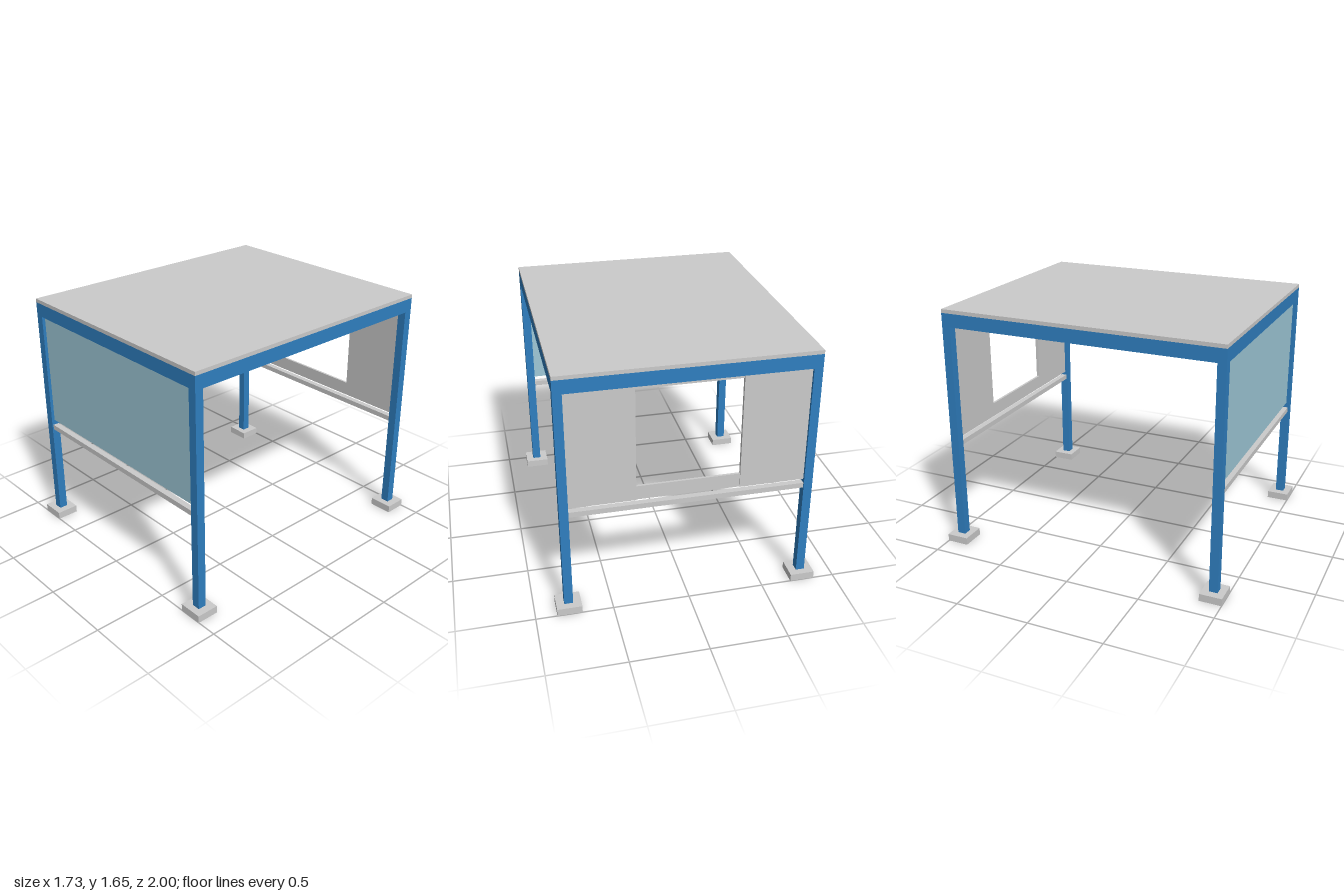
import * as THREE from 'three';

const mat = (color) => new THREE.MeshStandardMaterial({ color });

export function createModel() {
  const model = new THREE.Group();
  const grey = mat(0xcccccc);
  const blue = mat(0x2f7fc0);
  const glass = mat(0x9fc9d8);
  const black = mat(0x222222);

  // Box given by its lower and upper corners
  const box = (name, material, [x0, y0, z0], [x1, y1, z1], parent = model) => {
    const mesh = new THREE.Mesh(new THREE.BoxGeometry(x1 - x0, y1 - y0, z1 - z0), material);
    mesh.position.set((x0 + x1) / 2, (y0 + y1) / 2, (z0 + z1) / 2);
    mesh.name = name;
    parent.add(mesh);
    return mesh;
  };

  const X = 0.81, Z = 0.955, T = 0.057; // outer half sizes and tube thickness
  const xi = X - T, zi = Z - T;
  const beamY = 1.54, roofY = 1.63;

  // Roof slab
  box('roof', grey, [-X, roofY, -Z], [X, 1.655, Z]);

  // Four posts on footings
  for (const sx of [-1, 1]) {
    for (const sz of [-1, 1]) {
      const corner = new THREE.Group();
      corner.name = `${sz > 0 ? 'front' : 'back'}${sx > 0 ? 'Left' : 'Right'}Leg`;
      const px = sx * (X - T / 2), pz = sz * (Z - T / 2);
      box('post', blue, [px - T / 2, 0.05, pz - T / 2], [px + T / 2, beamY, pz + T / 2], corner);
      box('footing', grey, [px - 0.081, 0, pz - 0.075], [px + 0.081, 0.05, pz + 0.075], corner);
      model.add(corner);
    }
  }

  // Roof frame and lower cross rails
  for (const s of [-1, 1]) {
    const zc = s * (Z - T / 2), xc = s * (X - T / 2);
    const end = s > 0 ? 'front' : 'back';
    box(`${end}Beam`, blue, [-X, beamY, zc - T / 2], [X, roofY, zc + T / 2]);
    box(s > 0 ? 'leftBeam' : 'rightBeam', blue, [xc - T / 2, beamY, -zi], [xc + T / 2, roofY, zi]);
    box(`${end}Rail`, grey, [-xi, 0.7, zc - 0.02], [xi, 0.735, zc + 0.02]);
  }

  // Front glazed screen
  box('frontScreen', glass, [-xi, 0.77, 0.922], [xi, beamY, 0.934]);

  // Back wall: two side panels and a recessed window surround
  const back = new THREE.Group();
  back.name = 'backWall';
  model.add(back);
  const w = 0.33;
  for (const s of [-1, 1]) {
    box('sidePanel', grey, [s > 0 ? w : -xi, 0.76, -0.938], [s > 0 ? xi : -w, beamY, -0.916], back);
  }
  box('windowSill', grey, [-w, 0.76, -0.932], [w, 0.855, -0.916], back);
  box('windowHeader', grey, [-w, 1.515, -0.932], [w, beamY, -0.916], back);

  // Overhead unit hung under the roof, with its supply bar to the back
  const unit = new THREE.Group();
  unit.name = 'overheadUnit';
  model.add(unit);
  box('housing', grey, [-0.045, 1.4, -0.07], [0.045, roofY, 0.07], unit);
  box('basePlate', blue, [-0.05, 1.38, -0.078], [0.05, 1.4, 0.078], unit);
  box('frontBracket', black, [-0.035, 1.47, 0.07], [0.035, 1.6, 0.095], unit);
  box('backBracket', blue, [-0.035, 1.47, -0.092], [0.035, 1.6, -0.07], unit);
  box('supplyBar', blue, [-0.02, 1.533, -zi], [0.02, 1.56, -0.092], unit);

  return model;
}
